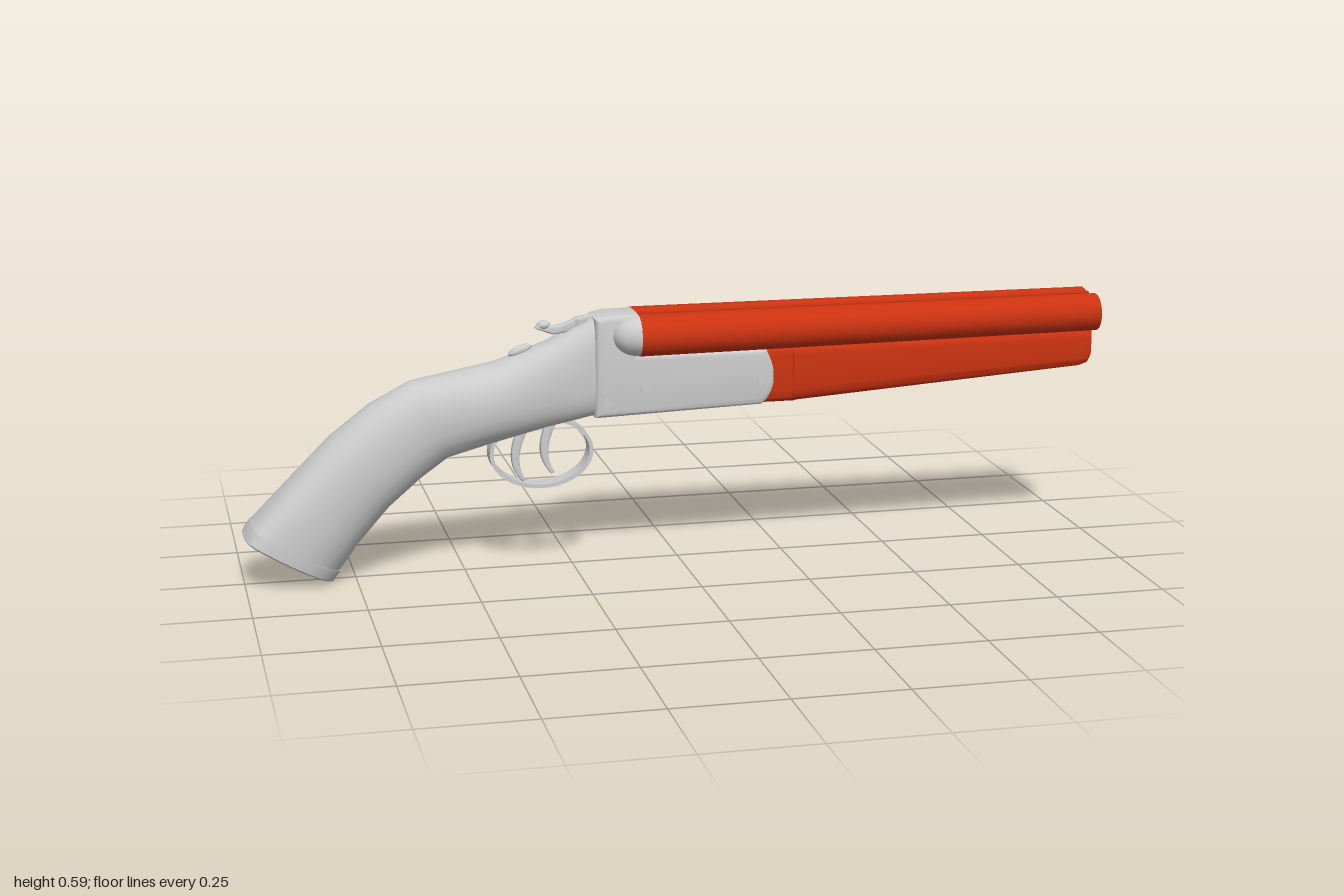
import * as THREE from 'three';
import { toCreasedNormals } from 'three/addons/utils/BufferGeometryUtils.js';

const grey = new THREE.MeshStandardMaterial({ color: 0xcccccc });
const red = new THREE.MeshStandardMaterial({ color: 0xcc3311 });

// Closed loft through rings that run towards -x, capped at both ends.
function loft(rings, crease) {
  const n = rings[0].length, pos = [], idx = [];
  rings.forEach(r => r.forEach(p => pos.push(...p)));
  for (let i = 0; i < rings.length - 1; i++) {
    for (let j = 0; j < n; j++) {
      const k = (j + 1) % n, a = i * n + j, b = i * n + k;
      idx.push(a, b, b + n, a, b + n, a + n);
    }
  }
  const last = (rings.length - 1) * n;
  for (let j = 1; j < n - 1; j++) {
    idx.push(0, j + 1, j, last, last + j, last + j + 1);
  }
  const g = new THREE.BufferGeometry();
  g.setAttribute('position', new THREE.Float32BufferAttribute(pos, 3));
  g.setIndex(idx);
  return toCreasedNormals(g, crease);
}

// Rounded cross-section between a top and a bottom point; a small power is boxier,
// bias lifts the widest place towards the top.
function section(top, bottom, halfWidth, power, bias = 0, n = 24) {
  const soft = v => Math.sign(v) * Math.abs(v) ** power;
  return Array.from({ length: n }, (_, j) => {
    const a = (j / n) * Math.PI * 2;
    const t = 0.5 - 0.5 * soft(Math.cos(a)) + bias * Math.sin(a) ** 2;
    return [
      bottom[0] + (top[0] - bottom[0]) * t,
      bottom[1] + (top[1] - bottom[1]) * t,
      halfWidth * soft(Math.sin(a)),
    ];
  });
}

// Side outline given a thickness, centred on z = 0.
function plate(shape, thickness, bevel) {
  const depth = thickness - 2 * bevel;
  const g = new THREE.ExtrudeGeometry(shape, {
    depth, curveSegments: 20, bevelEnabled: bevel > 0,
    bevelSize: bevel, bevelThickness: bevel, bevelOffset: -bevel, bevelSegments: 3,
  });
  return toCreasedNormals(g.translate(0, 0, -depth / 2), 0.6);
}

export function createModel() {
  const model = new THREE.Group();
  const add = (name, geometry, material, x = 0, y = 0, z = 0) => {
    const mesh = new THREE.Mesh(geometry, material);
    mesh.name = name;
    mesh.position.set(x, y, z);
    model.add(mesh);
    return mesh;
  };

  // Curved pistol grip stock: top, bottom, half width, power, bias
  const stock = [
    [[-0.2, 0.582], [-0.2, 0.354], 0.05, 0.6, 0],
    [[-0.3, 0.53], [-0.31, 0.332], 0.062, 0.75, 0],
    [[-0.42, 0.488], [-0.44, 0.3], 0.083, 0.95, 0],
    [[-0.615, 0.452], [-0.535, 0.274], 0.068, 0.85, 0],
    [[-0.71, 0.402], [-0.6, 0.228], 0.075, 0.85, 0.02],
    [[-0.8, 0.332], [-0.67, 0.168], 0.081, 0.85, 0.05],
    [[-0.9, 0.23], [-0.74, 0.09], 0.088, 0.8, 0.1],
    [[-0.982, 0.142], [-0.786, 0.028], 0.093, 0.75, 0.14],
  ];
  add('stock', loft(stock.map(s => section(...s)), 0.9), grey);
  add('buttPlate', loft([
    section([-0.982, 0.145], [-0.783, 0.027], 0.0945, 0.75, 0.14),
    section([-0.998, 0.122], [-0.8, 0.005], 0.094, 0.75, 0.14),
    section([-1, 0.119], [-0.804, 0.003], 0.089, 0.75, 0.14),
  ], 0.5), grey);

  // Receiver with a low bed for the barrels and a standing breech
  const body = new THREE.Shape();
  body.moveTo(-0.2, 0.353);
  body.lineTo(0.19, 0.366);
  body.quadraticCurveTo(0.222, 0.39, 0.222, 0.43);
  body.quadraticCurveTo(0.222, 0.47, 0.2, 0.498);
  body.lineTo(-0.1, 0.498);
  body.lineTo(-0.1, 0.59);
  body.lineTo(-0.17, 0.59);
  body.lineTo(-0.2, 0.583);
  add('receiver', plate(body, 0.106, 0.014), grey);

  // Pins through the receiver
  for (const [x, y] of [[-0.175, 0.39], [-0.085, 0.417], [0.187, 0.423]]) {
    add('receiverPin', new THREE.CylinderGeometry(0.01, 0.01, 0.112, 12).rotateX(Math.PI / 2), grey, x, y);
  }

  // Paired barrels, converging slightly, each with a rounded fence behind it
  const profile = [[0, 0], [0.048, 0], [0.0435, 1.1], [0.0395, 1.1], [0, 0.85]]
    .map(p => new THREE.Vector2(...p));
  for (const side of [1, -1]) {
    const barrel = toCreasedNormals(new THREE.LatheGeometry(profile, 24).rotateZ(-Math.PI / 2), 0.6);
    const tube = add(side > 0 ? 'leftBarrel' : 'rightBarrel', barrel, red, -0.1, 0.542, side * 0.0455);
    tube.rotation.set(0, side * 0.0035, 0.003);
    const fence = new THREE.SphereGeometry(0.047, 20, 14).scale(1.3, 1, 1);
    add('breechFence', fence, grey, -0.1, 0.542, side * 0.0455);
  }

  // Sighting rib and the web between the barrels
  add('topRib', new THREE.BoxGeometry(1.095, 0.03, 0.026), red, 0.4475, 0.572);
  add('barrelWeb', new THREE.BoxGeometry(1.09, 0.03, 0.03), red, 0.445, 0.514);

  // Fore-end, deeper towards the receiver, and its iron
  const foreEnd = [[0.992, 0.435, 0.046], [0.985, 0.421, 0.048], [0.965, 0.415, 0.05], [0.262, 0.368, 0.053]];
  add('foreEnd', loft(foreEnd.map(([x, y, w]) => section([x, 0.507], [x, y], w, 0.38, 0, 32)), 0.7), red);
  add('foreEndIron', loft([0.27, 0.17].map(x =>
    section([x, 0.507], [x, 0.367], 0.05, 0.35, 0, 32)), 0.7), red);

  // Trigger guard loop
  const loop = new THREE.Shape().absellipse(-0.321, 0.275, 0.12, 0.084, 0, Math.PI * 2);
  loop.holes.push(new THREE.Path().absellipse(-0.321, 0.275, 0.111, 0.075, 0, Math.PI * 2));
  add('triggerGuard', plate(loop, 0.044, 0), grey);

  // Two curved triggers
  for (const [x, y] of [[-0.295, 0.34], [-0.362, 0.325]]) {
    const blade = new THREE.Shape();
    blade.moveTo(x - 0.012, y);
    blade.quadraticCurveTo(x - 0.045, y - 0.075, x - 0.002, y - 0.12);
    blade.lineTo(x + 0.006, y - 0.115);
    blade.quadraticCurveTo(x - 0.025, y - 0.07, x + 0.012, y);
    add('trigger', plate(blade, 0.018, 0.003), grey);
  }

  // Opening lever and safety slide on the tang
  const lever = new THREE.Shape();
  lever.moveTo(-0.19, 0.57);
  lever.lineTo(-0.19, 0.589);
  lever.lineTo(-0.235, 0.582);
  lever.quadraticCurveTo(-0.27, 0.562, -0.295, 0.565);
  lever.quadraticCurveTo(-0.32, 0.582, -0.33, 0.56);
  lever.lineTo(-0.29, 0.545);
  lever.lineTo(-0.25, 0.55);
  add('openingLever', plate(lever, 0.02, 0.004), grey);
  add('leverPivot', new THREE.CylinderGeometry(0.017, 0.017, 0.05, 16), grey, -0.225, 0.553);
  add('leverThumbPiece', new THREE.SphereGeometry(0.013, 14, 10).scale(1.2, 0.8, 1.1), grey, -0.31, 0.567);
  const safety = add('safetySlide', new THREE.SphereGeometry(0.016, 14, 10).scale(1.8, 0.7, 0.8), grey, -0.365, 0.511);
  safety.rotation.z = 0.35;

  return model;
}
